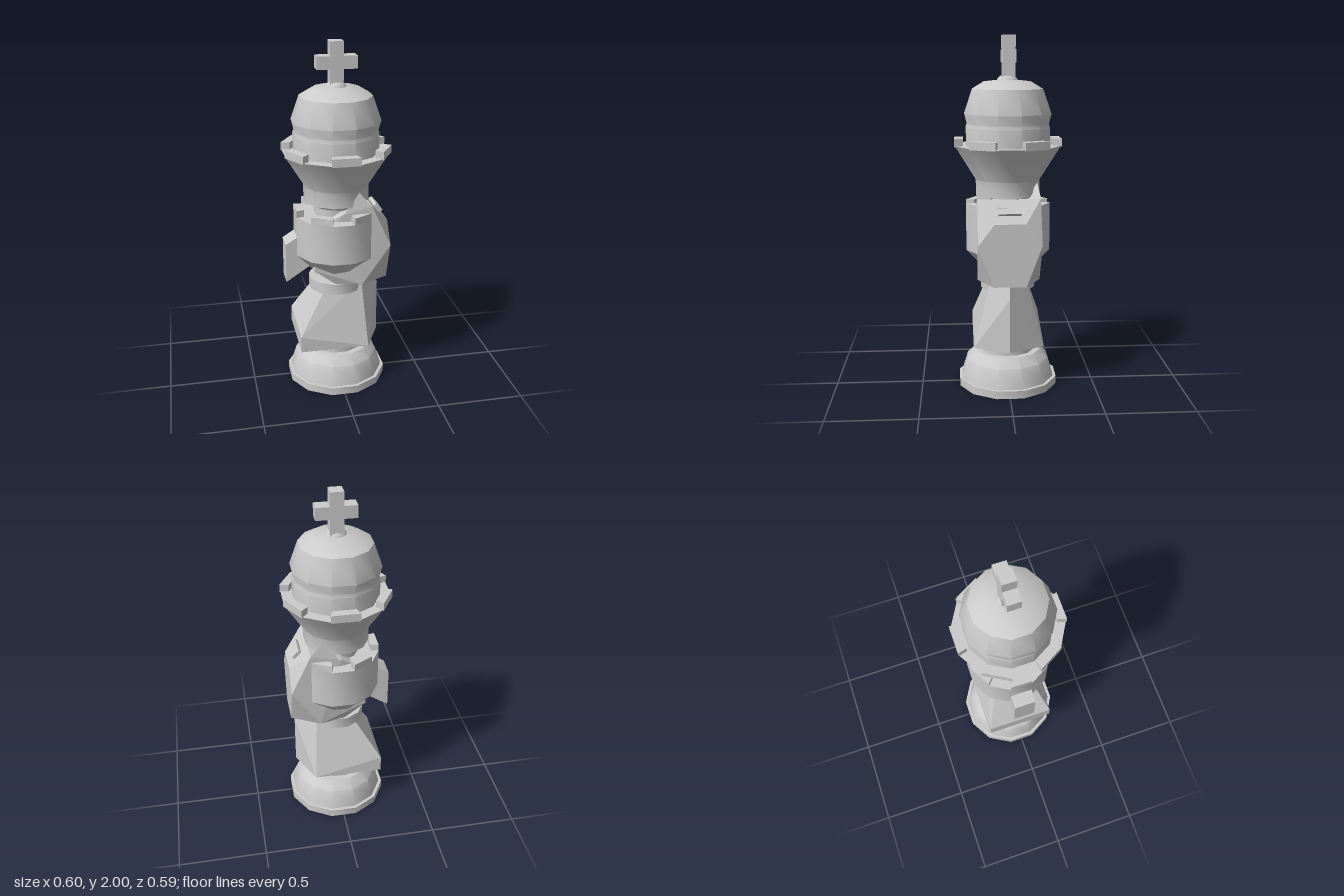
import * as THREE from 'three';
import { toCreasedNormals } from 'three/addons/utils/BufferGeometryUtils.js';
import { ConvexGeometry } from 'three/addons/geometries/ConvexGeometry.js';

const SIDES = 12;
const STEP = (Math.PI * 2) / SIDES;
const toCorner = 1 / Math.cos(STEP / 2); // flat radius to corner radius

export function createModel() {
  const model = new THREE.Group();
  const material = new THREE.MeshStandardMaterial({ color: 0xcccccc });

  const add = (name, geometry, parent = model) => {
    const mesh = new THREE.Mesh(geometry, material);
    mesh.name = name;
    parent.add(mesh);
    return mesh;
  };

  // Twelve-sided turned part; profile is [flat radius, y] from bottom to top
  const turned = (name, profile) => {
    const points = profile.map(([r, y]) => new THREE.Vector2(r * toCorner, y));
    const geometry = new THREE.LatheGeometry(points, SIDES, STEP / 2);
    return add(name, toCreasedNormals(geometry, 0.58));
  };

  // Solid from corners; each [x, y, z] is mirrored across z
  const faceted = (name, corners) => {
    const points = [];
    for (const [x, y, z] of corners) {
      points.push(new THREE.Vector3(x, y, z));
      if (z !== 0) points.push(new THREE.Vector3(x, y, -z));
    }
    return add(name, new ConvexGeometry(points));
  };

  // Battlements standing on every second side of a turned part
  const battlements = (name, inner, outer, y, height, firstAngle) => {
    const group = new THREE.Group();
    group.name = name;
    const corner = (r, a) => new THREE.Vector2(r * toCorner * Math.cos(a), r * toCorner * Math.sin(a));
    for (let i = 0; i < SIDES / 2; i++) {
      const a = firstAngle + i * 2 * STEP;
      const b = a - STEP / 2, c = a + STEP / 2;
      const shape = new THREE.Shape([corner(inner, b), corner(outer, b), corner(outer, c), corner(inner, c)]);
      const geometry = new THREE.ExtrudeGeometry(shape, { depth: height, bevelEnabled: false });
      geometry.rotateX(-Math.PI / 2).translate(0, y, 0);
      add('merlon', geometry, group);
    }
    model.add(group);
  };

  // Foot and inner column
  turned('base', [[0, 0], [0.28, 0], [0.28, 0.045], [0.262, 0.045], [0.258, 0.07], [0.232, 0.155],
    [0.185, 0.205], [0.15, 0.205], [0.15, 0.27], [0, 0.27]]);
  turned('collar', [[0, 0.5], [0.11, 0.5], [0.12, 0.585], [0.153, 0.585], [0.153, 0.65], [0.125, 0.65],
    [0.11, 0.69], [0.12, 0.76], [0, 0.76]]);

  // Chest with a ridge along its front
  faceted('chest', [
    [-0.24, 0.26, 0.2], [-0.24, 0.355, 0.2], [0.155, 0.26, 0.2],
    [0.25, 0.26, 0], [0.25, 0.57, 0], [0.225, 0.65, 0],
    [0.13, 0.65, 0.1], [-0.06, 0.65, 0.1],
  ]);

  // Horse head pointing to the left side
  faceted('horseHead', [
    [0.28, 1.0, 0.085], [0.28, 0.88, 0.175], [0.28, 0.65, 0.09],
    [0.12, 0.65, 0.175], [-0.03, 0.65, 0.14], [-0.15, 0.74, 0.14],
    [-0.12, 1.0, 0.14], [0, 1.08, 0.175], [0.17, 1.12, 0.175],
  ]);
  for (const s of [1, -1]) {
    add('ear', new ConvexGeometry([
      new THREE.Vector3(0.1, 1.2, 0.16 * s), new THREE.Vector3(0.01, 1.08, 0.175 * s),
      new THREE.Vector3(0.17, 1.12, 0.175 * s), new THREE.Vector3(0.14, 1.1, 0.09 * s),
    ]));
  }
  const nose = add('nosePlate', new THREE.BoxGeometry(0.055, 0.04, 0.125));
  nose.position.set(0.225, 1.06, 0);
  nose.rotation.z = -0.83;

  // Mane on the side behind the head
  const maneShape = new THREE.Shape([
    [-0.3, 0.65], [-0.18, 0.73], [-0.1, 0.78], [-0.1, 0.93], [-0.22, 0.93], [-0.3, 0.88],
  ].map(([x, y]) => new THREE.Vector2(x, y)));
  const mane = new THREE.ExtrudeGeometry(maneShape, { depth: 0.124, bevelEnabled: false });
  add('mane', mane.translate(0, 0, -0.062));

  // Tower wrapped around the head
  turned('tower', [[0, 0.72], [0.155, 0.72], [0.235, 0.81], [0.235, 1.04], [0, 1.04]]);
  battlements('towerBattlements', 0.19, 0.235, 1.04, 0.04, 0);

  // Neck and flared crown
  turned('crown', [[0, 1.0], [0.12, 1.0], [0.12, 1.09], [0.178, 1.12], [0.178, 1.21],
    [0.293, 1.4], [0, 1.4]]);
  battlements('crownBattlements', 0.248, 0.297, 1.395, 0.045, STEP);

  // Domed top with band and ball
  turned('dome', [[0, 1.39], [0.232, 1.39], [0.232, 1.5], [0.226, 1.52], [0.24, 1.575],
    [0.195, 1.71], [0.13, 1.75], [0, 1.765]]);
  const ball = add('ball', new THREE.SphereGeometry(0.062, 12, 8));
  ball.scale.y = 0.75;
  ball.position.y = 1.745;

  // Cross
  const cross = new THREE.Group();
  cross.name = 'cross';
  add('crossPost', new THREE.BoxGeometry(0.074, 0.25, 0.075), cross).position.set(0, 1.875, -0.006);
  add('crossArms', new THREE.BoxGeometry(0.222, 0.07, 0.074), cross).position.set(0.002, 1.888, -0.006);
  model.add(cross);

  return model;
}
